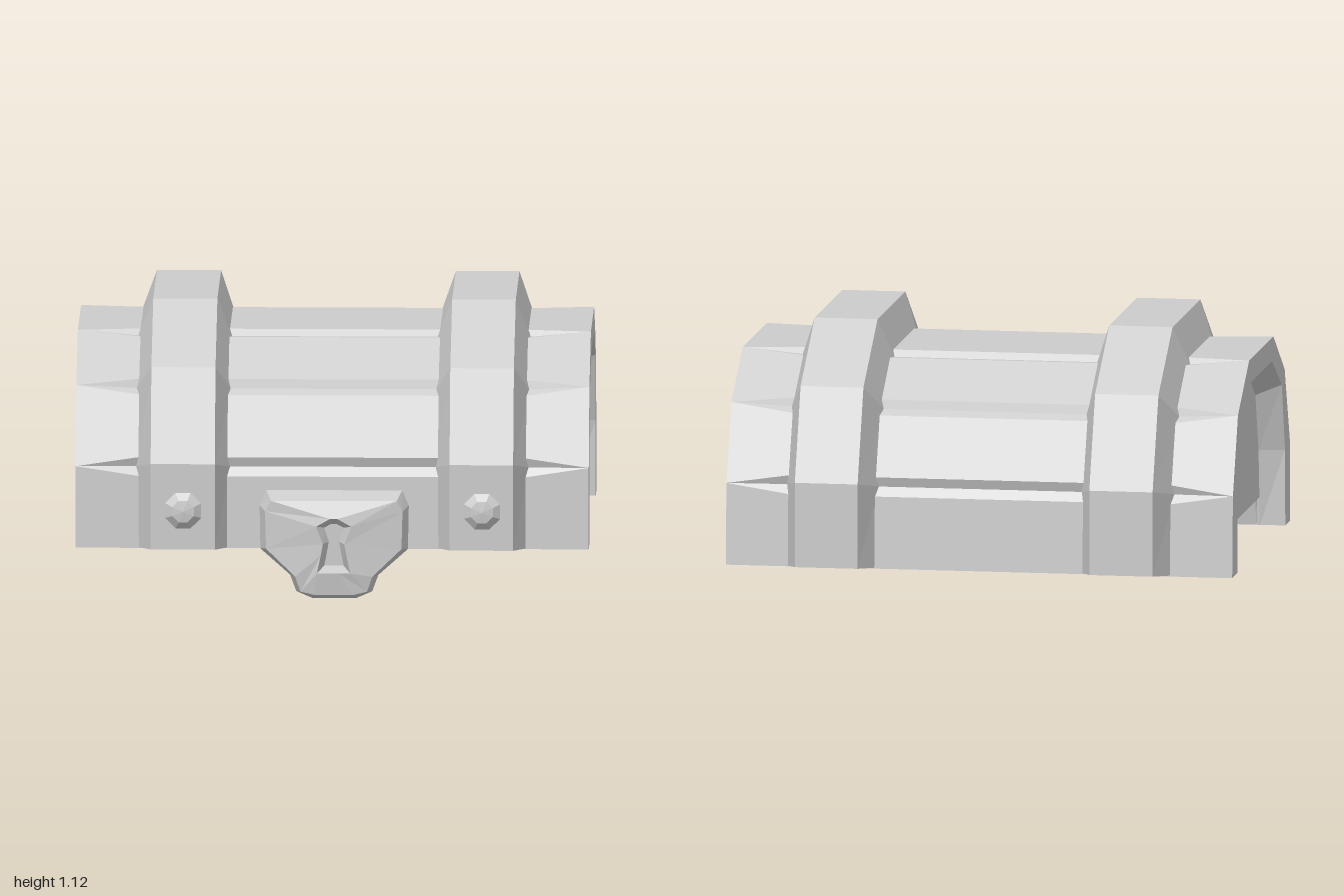
import * as THREE from 'three';

const grey = new THREE.MeshStandardMaterial({ color: 0xcccccc });
grey.name = 'plain grey';

// Faceted mesh: unshared vertices give flat faces
function part(name, geometry, parent) {
  const g = geometry.index ? geometry.toNonIndexed() : geometry;
  g.computeVertexNormals();
  const mesh = new THREE.Mesh(g, grey);
  mesh.name = name;
  parent.add(mesh);
  return mesh;
}

// Surface through rows of [x, y, z] points
function skin(rows, closed = false) {
  const pos = [];
  for (let i = 0; i < rows.length - 1; i++) {
    const n = rows[i].length;
    for (let j = 0; j < (closed ? n : n - 1); j++) {
      const k = (j + 1) % n;
      const [a, b, c, d] = [rows[i][j], rows[i + 1][j], rows[i + 1][k], rows[i][k]];
      pos.push(...a, ...b, ...c, ...a, ...c, ...d);
    }
  }
  const g = new THREE.BufferGeometry();
  g.setAttribute('position', new THREE.Float32BufferAttribute(pos, 3));
  return g;
}

const toShape = pts => new THREE.Shape(pts.map(p => new THREE.Vector2(p[0], p[1])));
const atX = (profile, x) => profile.map(([z, y]) => [x, y, z]);
const mix = (a, b, t) => [a[0] + (b[0] - a[0]) * t, a[1] + (b[1] - a[1]) * t];
const toward = (a, b, d) => mix(a, b, d / Math.hypot(b[0] - a[0], b[1] - a[1]));

// Arch profiles as [z, y], from front foot over the top to back foot
const OUTER = [[0.674, 0.2], [0.665, 0.52], [0.54, 0.82], [0.27, 0.993],
  [-0.315, 0.993], [-0.584, 0.82], [-0.705, 0.52], [-0.722, 0.2]];
const RIM = [[0.555, 0.2], [0.548, 0.5], [0.47, 0.77], [0.238, 0.9],
  [-0.29, 0.9], [-0.52, 0.77], [-0.593, 0.5], [-0.598, 0.2]];
const RECESS = [[0.555, 0.2], [0.52, 0.5], [0.445, 0.73], [0.238, 0.86],
  [-0.29, 0.86], [-0.495, 0.73], [-0.566, 0.5], [-0.598, 0.2]];
// Hollow inside: leaning walls under a flat ceiling
const HOLLOW = [[0.555, 0.2], [0.505, 0.47], [0.445, 0.765], [0.238, 0.765],
  [-0.29, 0.765], [-0.493, 0.765], [-0.55, 0.47], [-0.598, 0.2]];
const BAND = [[0.785, 0.212], [0.788, 0.55], [0.65, 0.91], [0.31, 1.125],
  [-0.36, 1.125], [-0.70, 0.91], [-0.84, 0.55], [-0.84, 0.217]];
const CENTRE = [-0.02, 0.45];

// Outer profile with V grooves between planks, g = 0 (none) to 1 (full)
function grooved(g) {
  return OUTER.flatMap((p, i) => (i === 0 || i === 7) ? [p] : [
    toward(p, OUTER[i - 1], 0.038 * g),
    toward(p, CENTRE, 0.028 * g),
    toward(p, OUTER[i + 1], 0.038 * g),
  ]);
}

function addShell(parent) {
  const stations = [[-1, RIM], [-0.9, RECESS], [-0.885, HOLLOW], [-0.75, HOLLOW],
    [0.75, HOLLOW], [0.885, HOLLOW], [0.9, RECESS], [1, RIM]];
  const rows = stations.map(([x, inside]) => {
    const g = Math.min(1, (1 - Math.abs(x)) / 0.25);
    return atX([...grooved(g), ...[...inside].reverse()], x);
  });
  part('plankShell', skin(rows, true), parent);
  part('leftRim', skin([atX(OUTER, 1), atX(RIM, 1)]), parent);
  part('rightRim', skin([atX(RIM, -1), atX(OUTER, -1)]), parent);

  // Recessed end panels
  const outline = RECESS.map((p, i) => (i === 0 || i === 7) ? [p[0], 0.31] : p);
  for (const [name, x] of [['leftEndPanel', 0.9], ['rightEndPanel', -0.885]]) {
    const g = new THREE.ExtrudeGeometry(toShape(outline), { depth: 0.015, bevelEnabled: false });
    g.rotateY(-Math.PI / 2).translate(x, 0, 0);
    part(name, g, parent);
  }
}

// Raised strap with sloped sides, closed at both feet
function addBand(name, xs, parent) {
  const group = new THREE.Group();
  group.name = name;
  parent.add(group);
  const base = OUTER.map((p, i) => (i === 0 || i === 7)
    ? [p[0] - Math.sign(p[0]) * 0.03, 0.2] : toward(p, CENTRE, 0.03));
  const rows = [base, BAND, BAND, base].map((p, i) => atX(p, xs[i]));
  part('strap', skin(rows), group);
  const foot = j => rows.map(r => r[j]);
  const [f0, f1, f2, f3] = foot(0);
  part('frontFoot', skin([[f1, f2], [f0, f3]]), group);
  const [b0, b1, b2, b3] = foot(7);
  part('backFoot', skin([[b0, b3], [b1, b2]]), group);
}

function addRivet(name, x, parent) {
  const profile = [[0.066, -0.01], [0.076, 0.025], [0.046, 0.05], [0, 0.056]]
    .map(p => new THREE.Vector2(...p));
  const g = new THREE.LatheGeometry(profile, 8, Math.PI / 8);
  g.rotateX(Math.PI / 2);
  part(name, g, parent).position.set(x, 0.37, 0.782);
}

function addLock(parent) {
  const group = new THREE.Group();
  group.name = 'lock';
  group.position.x = 0.008;
  parent.add(group);
  // Right halves from the bottom up, mirrored into counter-clockwise loops
  const mirror = half => [...half, ...half.map(([x, y]) => [-x, y]).reverse()];
  const base = mirror([[0.085, 0.003], [0.148, 0.03], [0.172, 0.095],
    [0.29, 0.2], [0.292, 0.37], [0.265, 0.43]]);
  const face = mirror([[0.075, 0.033], [0.13, 0.045], [0.15, 0.105],
    [0.264, 0.212], [0.268, 0.36], [0.245, 0.402]]);
  const hole = mirror([[0.02, 0.12], [0.065, 0.12], [0.05, 0.19],
    [0.042, 0.235], [0.068, 0.305], [0.015, 0.335]]);
  const floor = mirror([[0.015, 0.14], [0.038, 0.14], [0.028, 0.19],
    [0.02, 0.235], [0.038, 0.29], [0.01, 0.305]]);
  // Face slopes back gently toward the sides and the tip
  const faceZ = (x, y) => 0.787 - 0.17 * Math.max(0, Math.abs(x) - 0.08) - 0.2 * Math.max(0, 0.1 - y);
  const front = pts => pts.map(([x, y]) => [x, y, faceZ(x, y)]);
  const atZ = (pts, z) => pts.map(([x, y]) => [x, y, z]);

  part('lockSides', skin([front(face), atZ(base, 0.665)], true), group);
  part('lockFace', skin([front(hole), front(face)], true), group);
  part('keyholeWalls', skin([atZ(floor, 0.72), front(hole)], true), group);
  part('keyholeFloor', new THREE.ShapeGeometry(toShape(floor)).translate(0, 0, 0.72), group);
  part('lockBack', new THREE.ShapeGeometry(toShape(base)).rotateY(Math.PI).translate(0, 0, 0.665), group);
}

export function createModel() {
  const model = new THREE.Group();
  model.name = 'chestLid';
  addShell(model);
  addBand('leftBand', [0.402, 0.46, 0.708, 0.766], model);
  addBand('rightBand', [-0.766, -0.705, -0.455, -0.398], model);
  addRivet('leftRivet', 0.587, model);
  addRivet('rightRivet', -0.578, model);
  addLock(model);
  return model;
}
